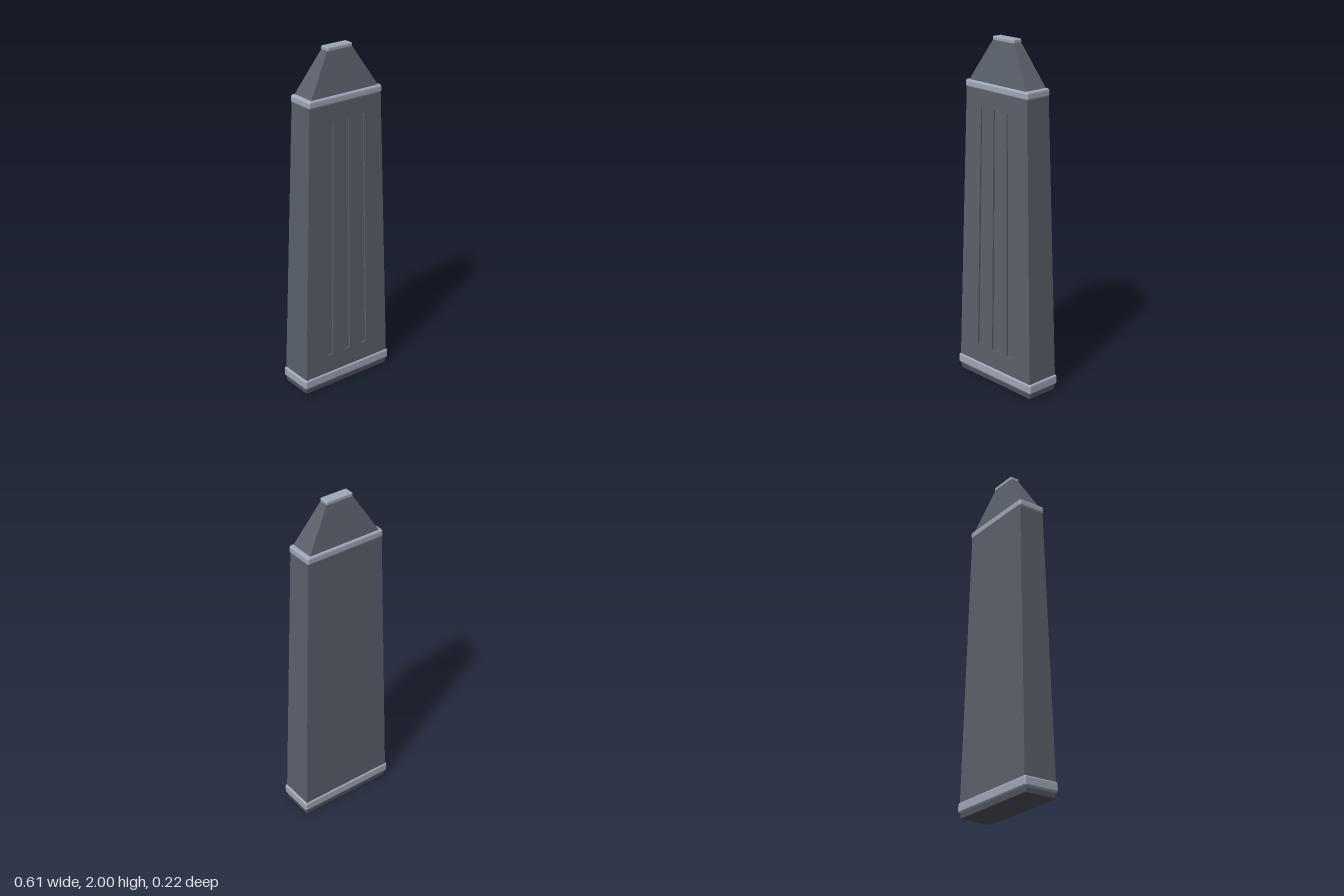
import * as THREE from 'three';
import { RoundedBoxGeometry } from 'three/addons/geometries/RoundedBoxGeometry.js';

const dark = new THREE.MeshStandardMaterial({ color: 0x5a606b });
const darker = new THREE.MeshStandardMaterial({ color: 0x4c515a });
const light = new THREE.MeshStandardMaterial({ color: 0x9fa7b6 });

const BODY_BOTTOM = 0.03, BODY_TOP = 1.73;
const along = (y, y0, y1) => (y - y0) / (y1 - y0);
const bodyScaleX = (y) => THREE.MathUtils.lerp(1, 0.81, along(y, BODY_BOTTOM, BODY_TOP));

// Narrows a geometry linearly in x and z from height y0 to height y1
function taper(geometry, y0, y1, topX, topZ) {
  const p = geometry.attributes.position;
  for (let i = 0; i < p.count; i++) {
    const t = along(p.getY(i), y0, y1);
    p.setX(i, p.getX(i) * THREE.MathUtils.lerp(1, topX, t));
    p.setZ(i, p.getZ(i) * THREE.MathUtils.lerp(1, topZ, t));
  }
  geometry.computeVertexNormals();
  return geometry;
}

function box(width, y0, y1, z0, z1) {
  return new THREE.BoxGeometry(width, y1 - y0, z1 - z0).translate(0, (y0 + y1) / 2, (z0 + z1) / 2);
}

function roundedBox(width, y0, y1, depth, radius) {
  return new RoundedBoxGeometry(width, y1 - y0, depth, 3, radius).translate(0, (y0 + y1) / 2, 0);
}

function polygon(target, points) {
  target.setFromPoints(points.map(([x, y]) => new THREE.Vector2(x, y)));
  target.closePath();
  return target;
}

export function createModel() {
  const group = new THREE.Group();
  const add = (name, geometry, material) => {
    const mesh = new THREE.Mesh(geometry, material);
    mesh.name = name;
    group.add(mesh);
  };

  // Tapered body: a core whose front is the groove floor
  const halfW = 0.295, halfD = 0.101, floorZ = 0.09;
  add('bodyCore', taper(box(halfW * 2, BODY_BOTTOM, BODY_TOP, -halfD, floorZ),
    BODY_BOTTOM, BODY_TOP, 0.81, 0.78), dark);

  // Front plate pierced by three long grooves that follow the taper
  const plate = polygon(new THREE.Shape(), [
    [-halfW, BODY_BOTTOM], [halfW, BODY_BOTTOM], [halfW, BODY_TOP], [-halfW, BODY_TOP],
  ]);
  const low = 0.2, high = 1.61;
  for (const x of [-0.124, 0, 0.124]) {
    const a = 0.02 / bodyScaleX(low), b = 0.02 / bodyScaleX(high);
    plate.holes.push(polygon(new THREE.Path(), [[x - a, low], [x - b, high], [x + b, high], [x + a, low]]));
  }
  const plateGeometry = new THREE.ExtrudeGeometry(plate, { depth: halfD - floorZ, bevelEnabled: false });
  add('groovedFront', taper(plateGeometry.translate(0, 0, floorZ), BODY_BOTTOM, BODY_TOP, 0.81, 0.78), dark);

  // Foot and the two collars
  add('foot', roundedBox(0.586, 0, 0.06, 0.196, 0.006), darker);
  add('lowerCollar', roundedBox(0.608, 0.035, 0.092, 0.216, 0.011), light);
  add('upperCollar', roundedBox(0.492, 1.704, 1.75, 0.17, 0.013), light);

  // Tapered neck and its end cap
  add('neck', taper(box(0.452, 1.745, 1.982, -0.074, 0.074), 1.745, 1.982, 0.36, 0.34), dark);
  add('endCap', roundedBox(0.166, 1.975, 2, 0.06, 0.007), light);

  return group;
}
